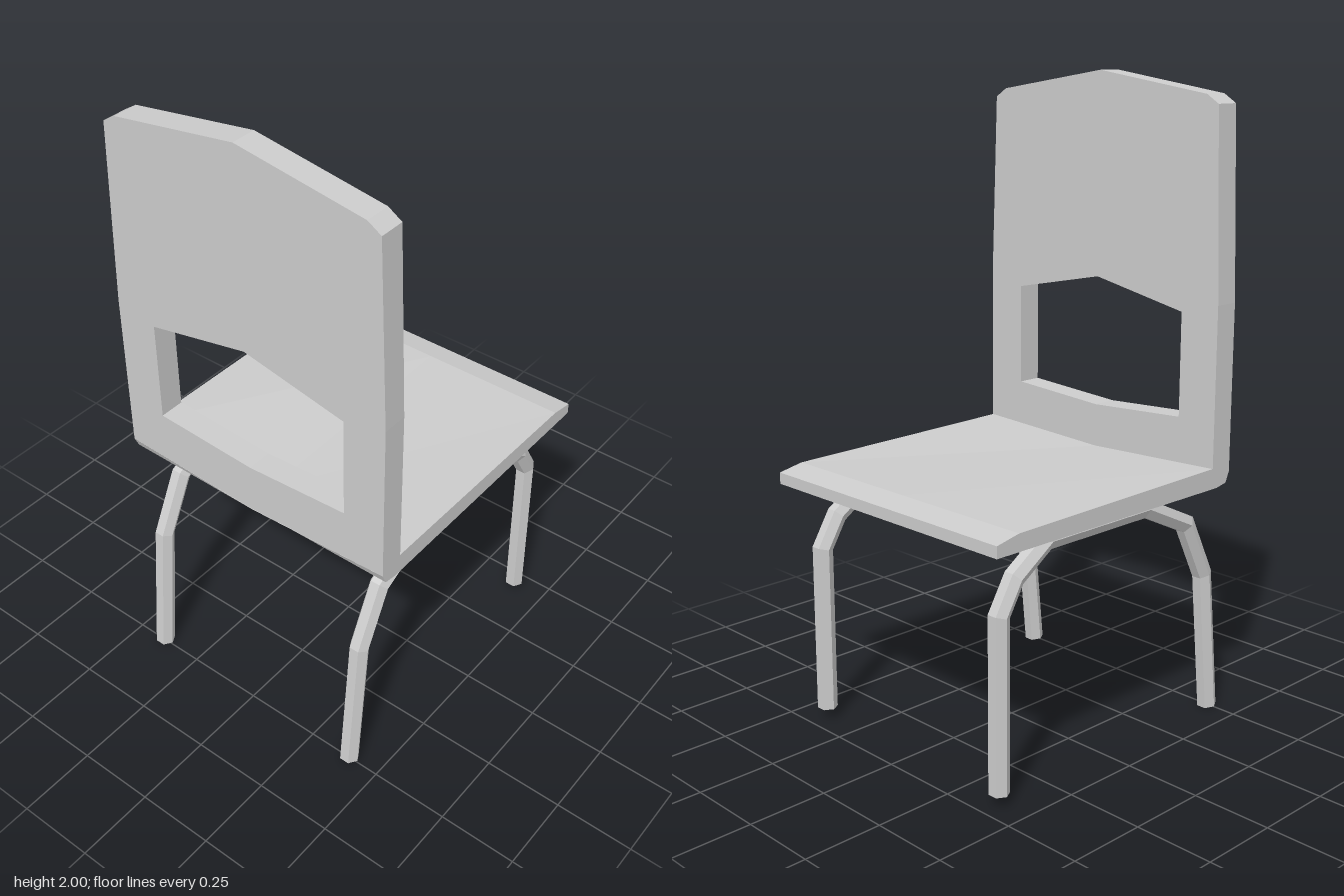
import * as THREE from 'three';

const material = new THREE.MeshStandardMaterial({ color: 0xcccccc, flatShading: true });
const points = (list) => list.map(([a, b]) => new THREE.Vector2(a, b));

function addMesh(parent, name, geometry) {
  const mesh = new THREE.Mesh(geometry, material);
  mesh.name = name;
  parent.add(mesh);
  return mesh;
}

// Upright panel with a peaked top and a hand opening
function backrestGeometry() {
  const shape = new THREE.Shape(points([
    [-0.48, 0.81], [0, 0.79], [0.48, 0.81], [0.48, 1.33], [0.458, 1.91], [0.415, 1.937],
    [0, 2], [-0.415, 1.937], [-0.458, 1.91], [-0.48, 1.33],
  ]));
  shape.holes.push(new THREE.Path(points([
    [-0.343, 0.97], [-0.343, 1.295], [0, 1.365], [0.343, 1.295], [0.343, 0.97], [0, 0.95],
  ])));
  const geometry = new THREE.ExtrudeGeometry(shape, { depth: 0.08, bevelEnabled: false });
  return geometry.translate(0, 0, 0.378);
}

// Side profile (z, y) swept across the width, sagging in the middle towards the back
function seatGeometry() {
  const shape = new THREE.Shape(points([
    [-0.522, 0.768], [0.40, 0.768], [0.443, 0.776], [0.458, 0.81],
    [0.378, 0.832], [-0.44, 0.82], [-0.522, 0.804],
  ]));
  const geometry = new THREE.ExtrudeGeometry(shape, { depth: 0.96, steps: 2, bevelEnabled: false });
  geometry.translate(0, 0, -0.48).rotateY(-Math.PI / 2);
  const p = geometry.attributes.position;
  for (let i = 0; i < p.count; i++) {
    if (Math.abs(p.getX(i)) > 0.01 || p.getY(i) < 0.79) continue;
    p.setY(i, p.getY(i) - 0.02 * Math.max(0, (p.getZ(i) + 0.44) / 0.82));
  }
  geometry.computeVertexNormals();
  return geometry;
}

// Hexagonal tube with mitred bends along a (z, y) path
function legGeometry(path, radius = 0.0315, sides = 6) {
  const pos = [], index = [];
  const centres = points(path);
  const dirs = centres.slice(1).map((c, i) => c.clone().sub(centres[i]).normalize());
  centres.forEach((c, i) => {
    const a = dirs[Math.max(0, i - 1)], b = dirs[Math.min(i, dirs.length - 1)];
    const t = a.clone().add(b).normalize();
    const mitre = 1 / t.dot(a);
    for (let k = 0; k < sides; k++) {
      const angle = (k / sides) * Math.PI * 2;
      const h = Math.sin(angle) * radius * mitre;
      pos.push(Math.cos(angle) * radius, c.y + t.x * h, c.x - t.y * h);
    }
  });
  const last = (centres.length - 1) * sides;
  for (let r = 0; r < last; r += sides) {
    for (let k = 0; k < sides; k++) {
      const n = (k + 1) % sides;
      index.push(r + k, r + sides + n, r + sides + k, r + k, r + n, r + sides + n);
    }
  }
  // End caps
  for (let k = 1; k < sides - 1; k++) {
    index.push(0, k + 1, k, last, last + k, last + k + 1);
  }
  // Reverse the winding if the tube came out inside out
  const corner = (i) => new THREE.Vector3().fromArray(pos, index[i] * 3);
  const normal = corner(1).sub(corner(0)).cross(corner(2).sub(corner(0)));
  const middle = corner(0).add(corner(1)).add(corner(2)).divideScalar(3);
  if (normal.x * middle.x < 0) index.reverse();
  const geometry = new THREE.BufferGeometry();
  geometry.setAttribute('position', new THREE.Float32BufferAttribute(pos, 3));
  geometry.setIndex(index);
  const flat = geometry.toNonIndexed();
  flat.computeVertexNormals();
  return flat;
}

export function createModel() {
  const chair = new THREE.Group();
  chair.name = 'chair';
  addMesh(chair, 'backrest', backrestGeometry());
  addMesh(chair, 'seat', seatGeometry());

  // Each side has one bent tube forming a front and a back leg
  const legs = legGeometry([
    [0.497, 0], [0.45, 0.46], [0.357, 0.645], [0.16, 0.739],
    [-0.253, 0.739], [-0.375, 0.657], [-0.433, 0.56], [-0.433, 0.03],
  ]);
  for (const side of [-1, 1]) {
    addMesh(chair, side > 0 ? 'leftLegs' : 'rightLegs', legs).position.x = side * 0.394;
  }
  return chair;
}
